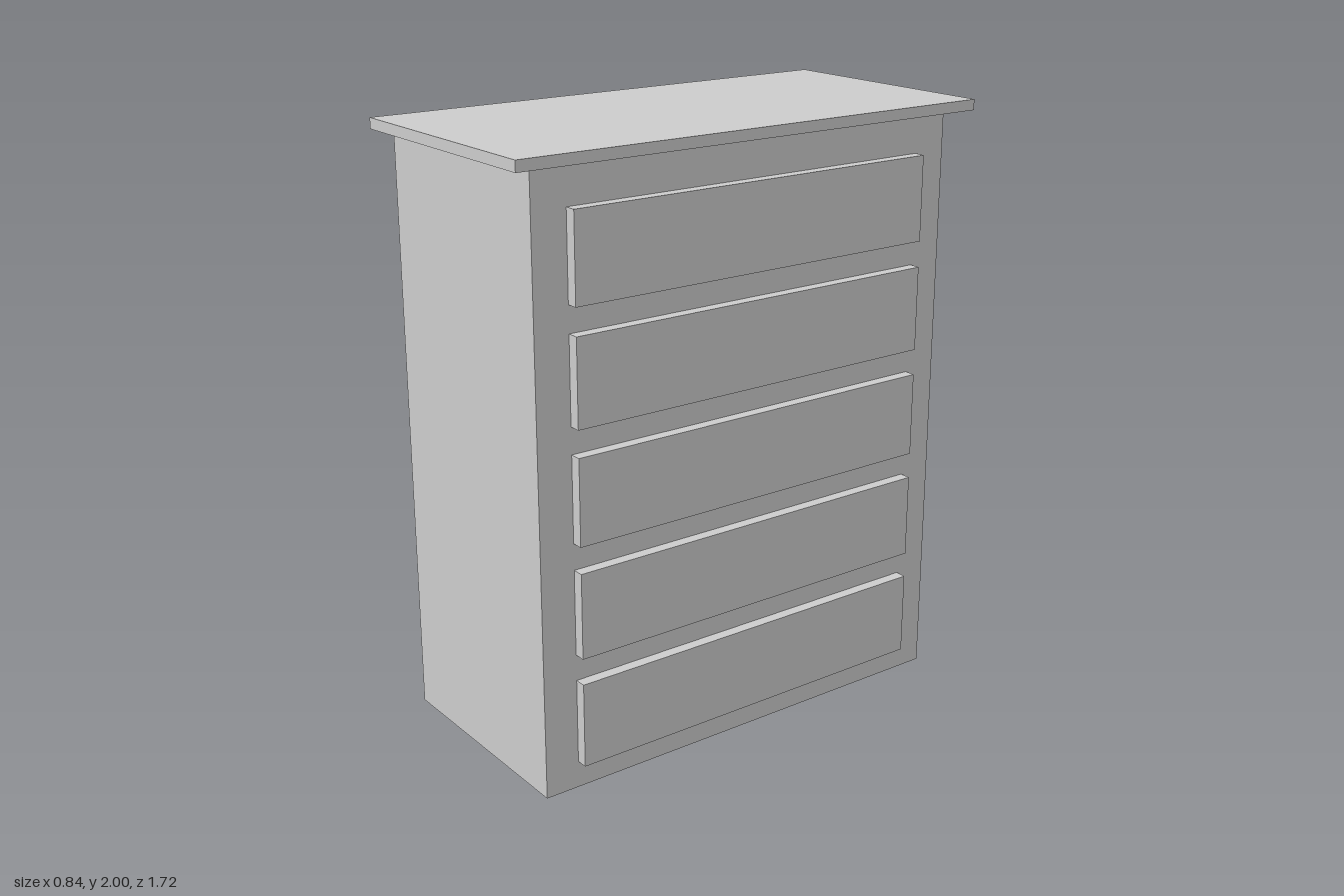
import * as THREE from 'three';

const material = new THREE.MeshStandardMaterial({ color: 0xcccccc, flatShading: true });

// Box given by its extents in x and y, centred on z = 0
function box(name, x0, x1, y0, y1, depth) {
  const mesh = new THREE.Mesh(new THREE.BoxGeometry(x1 - x0, y1 - y0, depth), material);
  mesh.position.set((x0 + x1) / 2, (y0 + y1) / 2, 0);
  mesh.name = name;
  return mesh;
}

export function createModel() {
  const group = new THREE.Group();
  group.name = 'chestOfDrawers';

  // Carcass, flush with the top at the back (-x)
  group.add(box('body', -0.42, 0.362, 0, 1.965, 1.564));

  // Overhanging top board
  group.add(box('topBoard', -0.42, 0.42, 1.965, 2, 1.72));

  // Five equal drawer fronts on the +x face
  const height = 0.281, pitch = 0.367;
  for (let i = 0; i < 5; i++) {
    const y = 0.089 + i * pitch;
    group.add(box(`drawerFront${i + 1}`, 0.362, 0.4, y, y + height, 1.33));
  }
  return group;
}
